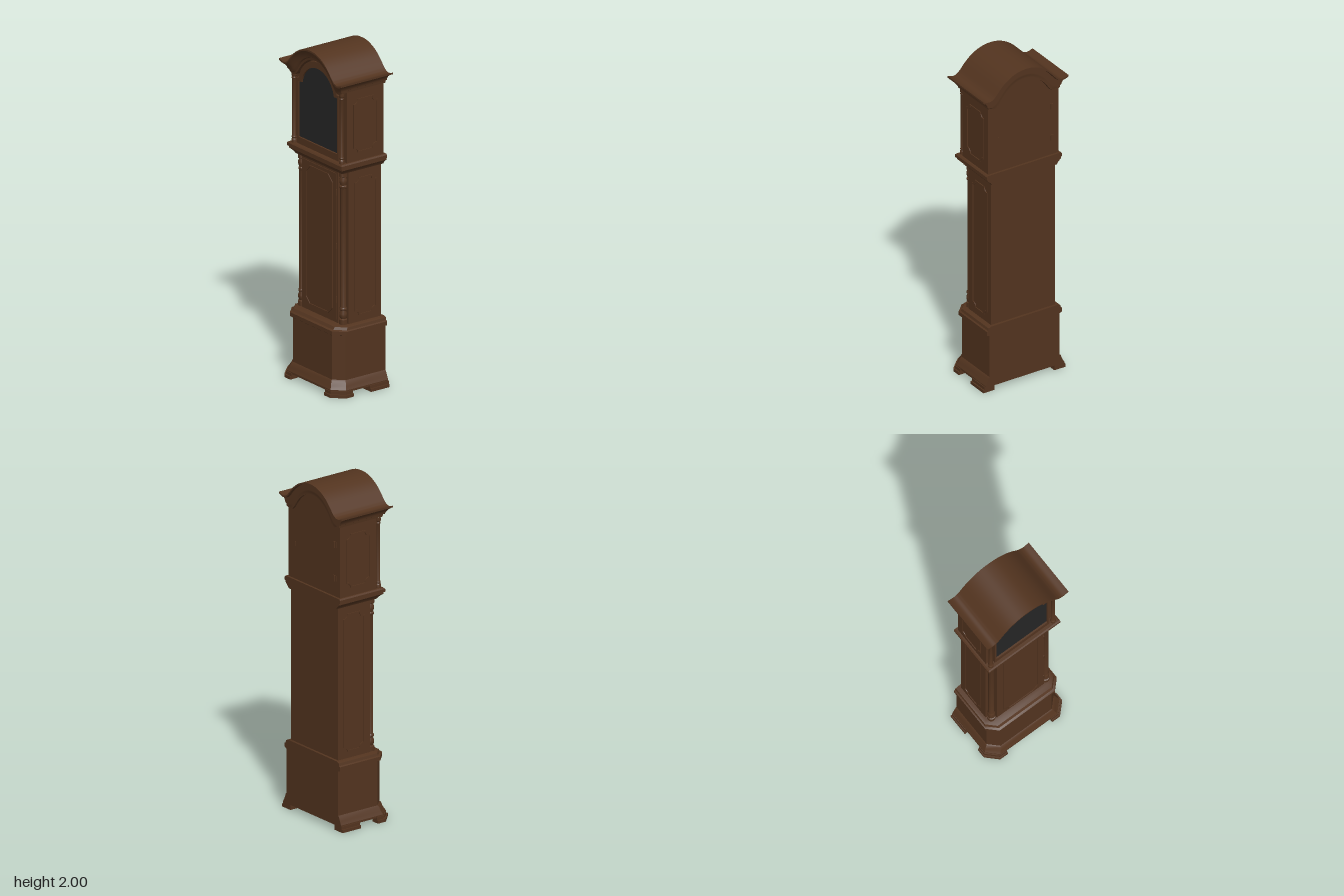
import * as THREE from 'three';
import { toCreasedNormals } from 'three/addons/utils/BufferGeometryUtils.js';

const wood = new THREE.MeshStandardMaterial({ color: 0x53341f });
wood.name = 'walnut wood';
const dark = new THREE.MeshStandardMaterial({ color: 0x262626 });
dark.name = 'dark glass';

// Roof line from left eave over the arch to right eave
const half = [[0.05, 1.995], [0.1, 1.976], [0.14, 1.95], [0.17, 1.922], [0.2, 1.888],
  [0.22, 1.87], [0.242, 1.862], [0.265, 1.865], [0.285, 1.873]];
const roofLine = new THREE.SplineCurve([
  ...half.slice().reverse().map(([x, y]) => new THREE.Vector2(-x, y)),
  new THREE.Vector2(0, 2),
  ...half.map(([x, y]) => new THREE.Vector2(x, y)),
]).getPoints(48);

// Closed ring with canted front corners (c = 0 gives a plain rectangle)
const ring = ([y, hw, f, c = 0, b = -0.18]) => [
  [-hw, y, b], [-hw, y, f - c], [-hw + c, y, f], [hw - c, y, f], [hw, y, f - c], [hw, y, b],
];

// Closed ring that follows the roof line, or lies flat when flatY is given
const archRing = ([drop, hw, f, b, flatY]) => {
  const at = (z) => roofLine.map((p) => [p.x * hw / 0.285, flatY ?? p.y - drop, z]);
  return [...at(f), ...at(b).reverse()];
};

// Skin stacked rings from bottom to top and cap both ends
function loft(rings, crease = 0.5) {
  const pos = [];
  const quad = (a, b, c, d) => pos.push(...a, ...b, ...c, ...a, ...c, ...d);
  const n = rings[0].length;
  for (let k = 0; k < rings.length - 1; k++) {
    const lo = rings[k], up = rings[k + 1];
    for (let i = 0; i < n; i++) {
      const j = (i + 1) % n;
      quad(lo[i], lo[j], up[j], up[i]);
    }
  }
  const top = rings[rings.length - 1], bot = rings[0];
  for (let i = 0; i < n / 2 - 1; i++) {
    quad(top[i], top[i + 1], top[n - 2 - i], top[n - 1 - i]);
    quad(bot[n - 1 - i], bot[n - 2 - i], bot[i + 1], bot[i]);
  }
  const g = new THREE.BufferGeometry();
  g.setAttribute('position', new THREE.Float32BufferAttribute(pos, 3));
  return toCreasedNormals(g, crease);
}

const extrude = (shape, depth) =>
  new THREE.ExtrudeGeometry(shape, { depth, bevelEnabled: false, curveSegments: 20 });

// Rectangle with an arched head standing on small shoulders
function archShape(hw, y0, yShoulder, archHw, yTop) {
  const s = new THREE.Shape();
  const rise = yTop - yShoulder;
  const r = (archHw * archHw + rise * rise) / (2 * rise);
  const a = Math.asin(Math.min(1, (r - rise) / r));
  s.moveTo(-hw, y0);
  s.lineTo(hw, y0);
  s.lineTo(hw, yShoulder);
  s.lineTo(archHw, yShoulder);
  s.absarc(0, yTop - r, r, a, Math.PI - a, false);
  s.lineTo(-hw, yShoulder);
  return s;
}

// Panel outline: scooped corners with small steps, or straight canted corners
function panelShape(w, h, r, scooped) {
  const s = new THREE.Shape(), x = w / 2, y = h / 2;
  for (let k = 0; k < 4; k++) {
    const sx = k === 1 || k === 2 ? 1 : -1, sy = k > 1 ? 1 : -1;
    if (scooped) {
      const start = [Math.PI / 2, Math.PI, 1.5 * Math.PI, 2 * Math.PI][k];
      s.absarc(sx * x, sy * y, r, start, start - Math.PI / 2, true);
    } else {
      const ends = [[sx * x, sy * (y - r)], [sx * (x - r), sy * y]];
      if (k % 2) ends.reverse();
      ends.forEach((p, i) => (k + i === 0 ? s.moveTo(...p) : s.lineTo(...p)));
    }
  }
  return s;
}

export function createModel() {
  const model = new THREE.Group();
  model.name = 'longcaseClock';
  const add = (name, geo, x = 0, y = 0, z = 0, mat = wood) => {
    const m = new THREE.Mesh(geo, mat);
    m.name = name;
    m.position.set(x, y, z);
    model.add(m);
    return m;
  };

  // Plinth with canted corners, flared skirt and cap moulding
  add('plinth', loft([[0.03, 0.235, 0.153, 0.055], [0.36, 0.235, 0.153, 0.055]].map(ring)));
  add('skirt', loft([
    [0.03, 0.262, 0.178, 0.062], [0.042, 0.262, 0.178, 0.062], [0.06, 0.252, 0.168, 0.06],
    [0.085, 0.242, 0.16, 0.057], [0.092, 0.235, 0.153, 0.055],
  ].map(ring)));
  add('plinthMoulding', loft([
    [0.355, 0.235, 0.153, 0.055], [0.362, 0.252, 0.163, 0.058], [0.385, 0.252, 0.163, 0.058],
    [0.39, 0.244, 0.15, 0.055], [0.405, 0.24, 0.14, 0.05], [0.412, 0.222, 0.115, 0.04],
  ].map(ring)));

  // Two-step bracket feet
  for (const s of [-1, 1]) {
    for (const [y, h, o] of [[0, 0.018, 0], [0.018, 0.018, 0.008]]) {
      const front = [[0.155, 0.19 - o], [0.21 - o / 2, 0.19 - o], [0.275 - o, 0.125 - o / 2],
        [0.275 - o, 0.07], [0.225, 0.07], [0.155, 0.14]];
      const back = [[0.2, -0.18], [0.2, -0.05], [0.275 - o, -0.05], [0.275 - o, -0.18]];
      [front, back].forEach((pts, i) => {
        const shape = new THREE.Shape(pts.map(([x, z]) => new THREE.Vector2(s * x, -z)));
        add(i ? 'backFoot' : 'frontFoot', extrude(shape, h).rotateX(-Math.PI / 2), 0, y, 0);
      });
    }
  }

  // Trunk: wide back part and narrower front leaving room for corner columns
  add('trunk', new THREE.BoxGeometry(0.43, 0.92, 0.227), 0, 0.865, -0.0515);
  add('trunkFront', new THREE.BoxGeometry(0.33, 0.92, 0.05), 0, 0.865, 0.075);
  add('trunkDoor', new THREE.BoxGeometry(0.31, 0.87, 0.006), 0, 0.865, 0.101);

  // Turned corner columns, symmetric top and bottom
  const end = [[0.023, 0], [0.023, 0.03], [0.016, 0.034], [0.022, 0.05], [0.022, 0.065],
    [0.015, 0.082], [0.021, 0.088], [0.021, 0.096], [0.017, 0.102]];
  const turned = [...end, ...end.map(([r, y]) => [r, 0.91 - y]).reverse()];
  const columnGeo = toCreasedNormals(
    new THREE.LatheGeometry(turned.map(([r, y]) => new THREE.Vector2(r, y)), 16), 0.6);
  for (const s of [-1, 1]) add('trunkColumn', columnGeo, s * 0.19, 0.41, 0.081);

  // Raised panel mouldings on the door and sides
  const moulding = (w, h, r, scooped) => {
    const shape = panelShape(w, h, r, scooped);
    shape.holes.push(panelShape(w - 0.016, h - 0.016, scooped ? r : r - 0.005, scooped));
    return extrude(shape, 0.005);
  };
  add('doorPanel', moulding(0.25, 0.83, 0.04, false), 0, 0.865, 0.104);
  for (const s of [-1, 1]) {
    add('trunkSidePanel', moulding(0.15, 0.82, 0.028, true), s * 0.215, 0.86, -0.055).rotation.y = s * Math.PI / 2;
    add('hoodSidePanel', moulding(0.17, 0.32, 0.03, true), s * 0.235, 1.59, -0.04).rotation.y = s * Math.PI / 2;
  }

  // Waist moulding under the hood
  add('waistMoulding', loft([
    [1.315, 0.217, 0.107], [1.325, 0.222, 0.112], [1.34, 0.238, 0.126], [1.345, 0.244, 0.132],
    [1.355, 0.244, 0.132], [1.358, 0.252, 0.14], [1.375, 0.252, 0.14], [1.382, 0.244, 0.133],
  ].map(ring)));

  // Hood case and the cornice that follows the arched roof
  add('hoodCase', loft([[0, 0.235, 0.09, -0.167, 1.375], [0.05, 0.235, 0.09, -0.167]].map(archRing)));
  add('roofCornice', loft([
    [0.07, 0.232, 0.088, -0.165], [0.07, 0.238, 0.13, -0.178], [0.056, 0.24, 0.133, -0.178],
    [0.052, 0.248, 0.14, -0.18], [0.042, 0.25, 0.143, -0.18], [0.025, 0.262, 0.152, -0.18],
    [0.012, 0.28, 0.165, -0.18], [0.01, 0.285, 0.169, -0.195], [0, 0.285, 0.169, -0.195],
  ].map(archRing)));

  // Arched hood door with glass
  const door = archShape(0.192, 1.385, 1.775, 0.175, 1.918);
  door.holes.push(archShape(0.178, 1.425, 1.757, 0.15, 1.88));
  add('hoodDoor', extrude(door, 0.03), 0, 0, 0.086);
  add('doorGlass', extrude(archShape(0.18, 1.423, 1.757, 0.152, 1.882), 0.006), 0, 0, 0.1, dark);

  // Slender free-standing hood columns
  const cap = [[0.016, 0], [0.016, 0.02], [0.012, 0.026], [0.015, 0.034], [0.0115, 0.042]];
  const slim = [...cap, ...cap.map(([r, y]) => [r, 0.42 - y]).reverse()];
  const slimGeo = toCreasedNormals(
    new THREE.LatheGeometry(slim.map(([r, y]) => new THREE.Vector2(r, y)), 14), 0.6);
  for (const s of [-1, 1]) add('hoodColumn', slimGeo, s * 0.219, 1.38, 0.114);

  // Hinges on the trunk door and hood back, plus a small back latch
  const pin = new THREE.CylinderGeometry(0.004, 0.004, 0.035, 8);
  for (const y of [0.55, 0.87, 1.19]) add('doorHinge', pin, 0.16, y, 0.105);
  for (const y of [1.49, 1.69]) {
    add('backHinge', new THREE.BoxGeometry(0.022, 0.035, 0.004), -0.19, y, -0.168);
    add('backHingePin', pin, -0.19, y, -0.171);
  }
  add('backLatch', new THREE.BoxGeometry(0.008, 0.025, 0.004), 0.17, 1.59, -0.168);
  return model;
}
